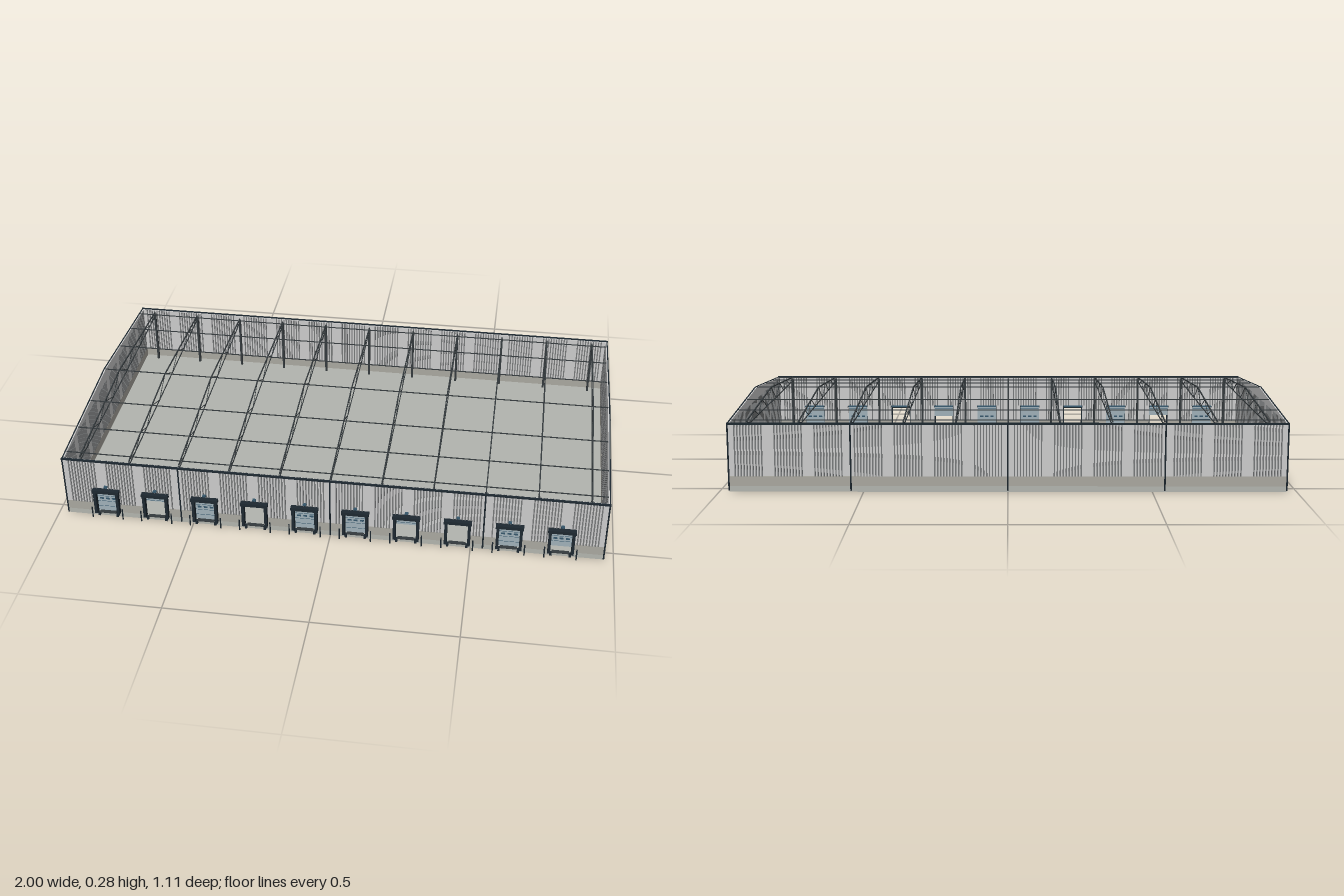
import * as THREE from 'three';
import { mergeGeometries } from 'three/addons/utils/BufferGeometryUtils.js';

const mat = (color) => new THREE.MeshStandardMaterial({ color });
const wallMat = mat(0xcccccc), ribMat = mat(0x77797a), floorMat = mat(0xb2b4ae), plinthMat = mat(0xa9a79f);
const steelMat = mat(0x343a3d), darkMat = mat(0x1d2830), doorMat = mat(0x9fb0b8), blueMat = mat(0x35566b);

const HX = 0.965, ZF = 0.538, ZB = -0.548, T = 0.006, EAVE = 0.24, RIDGE = 0.281, BAY = 0.181;
const roofY = (z) => RIDGE - (RIDGE - EAVE) * Math.abs(z) / 0.543;

const box = (w, h, d, x, y, z) => new THREE.BoxGeometry(w, h, d).translate(x, y, z);

// Square bar between two points
function bar(a, b, t) {
  const p = new THREE.Vector3(...a), q = new THREE.Vector3(...b);
  const m = new THREE.Matrix4().lookAt(p, q, new THREE.Vector3(0, 1, 0.001));
  m.setPosition(p.clone().add(q).multiplyScalar(0.5));
  return new THREE.BoxGeometry(t, t, p.distanceTo(q)).applyMatrix4(m);
}

const rod = (r, h, x, y, z) => new THREE.CylinderGeometry(r, r, h, 8).translate(x, y, z);

export function createModel() {
  const model = new THREE.Group();
  model.name = 'warehouse';
  const add = (name, geos, material, parent = model) => {
    const mesh = new THREE.Mesh(mergeGeometries(geos), material);
    mesh.name = name;
    parent.add(mesh);
    return mesh;
  };
  const doorXs = Array.from({ length: 10 }, (_, i) => (i - 4.5) * BAY);
  const frameXs = Array.from({ length: 11 }, (_, i) => (i - 5) * BAY);
  const zMid = (ZF + ZB) / 2, depth = ZF - ZB;

  // Floor slab
  add('floorSlab', [box(2 * HX, 0.02, depth, 0, 0.01, zMid)], floorMat);

  // Long walls; the front one has dock openings
  const longWall = (name, z, y0, y1, openings, material) => {
    const s = new THREE.Shape();
    s.moveTo(-HX, y0);
    if (openings && y0 < 0.03) {
      for (const x of doorXs) {
        s.lineTo(x - 0.04, y0); s.lineTo(x - 0.04, y1); s.lineTo(x + 0.04, y1); s.lineTo(x + 0.04, y0);
      }
    } else if (openings) {
      for (const x of doorXs) {
        s.lineTo(x - 0.04, y0); s.lineTo(x - 0.04, 0.115); s.lineTo(x + 0.04, 0.115); s.lineTo(x + 0.04, y0);
      }
    }
    s.lineTo(HX, y0); s.lineTo(HX, y1); s.lineTo(-HX, y1);
    add(name, [new THREE.ExtrudeGeometry(s, { depth: T, bevelEnabled: false }).translate(0, 0, z)], material);
  };
  longWall('frontWall', ZF - T, 0.055, EAVE, true, wallMat);
  longWall('backWall', ZB, 0.055, EAVE, false, wallMat);
  longWall('backPlinth', ZB - 0.001, 0.02, 0.055, false, plinthMat);
  // Front plinth between the docks
  const edges = [-HX, ...doorXs.flatMap((x) => [x - 0.04, x + 0.04]), HX];
  const plinths = [];
  for (let i = 0; i < edges.length; i += 2) {
    const w = edges[i + 1] - edges[i];
    plinths.push(box(w, 0.035, T + 0.002, edges[i] + w / 2, 0.0375, ZF - T / 2));
  }
  add('frontPlinth', plinths, plinthMat);

  // Gable walls
  for (const side of [1, -1]) {
    const s = new THREE.Shape();
    s.moveTo(-ZF, 0.055); s.lineTo(-ZB, 0.055); s.lineTo(-ZB, EAVE); s.lineTo(0, RIDGE); s.lineTo(-ZF, EAVE);
    const g = new THREE.ExtrudeGeometry(s, { depth: T, bevelEnabled: false });
    g.rotateY(Math.PI / 2).translate(side > 0 ? HX - T : -HX, 0, 0);
    add('gableWall', [g], wallMat);
    add('gablePlinth', [box(T + 0.002, 0.035, depth, side * (HX - T / 2), 0.0375, zMid)], plinthMat);
    // Roof-edge trim
    add('gableTrim', [ZF, ZB].map((z) => bar([side * HX, EAVE, z], [side * HX, RIDGE, 0], 0.004)), darkMat);
  }

  // Cladding ribs in groups, showing on both faces of each wall
  const ribs = (length, count, place) => {
    const out = [], panel = length / count;
    for (let p = 0; p < count; p++) {
      for (let i = 0; i < 10; i++) out.push(place(-length / 2 + panel * (p + 0.16 + 0.075 * i)));
    }
    return out;
  };
  const ribH = EAVE - 0.055;
  add('gableRibs', [1, -1].flatMap((side) => ribs(depth, 8, (u) =>
    box(T + 0.005, ribH, 0.0045, side * (HX - T / 2), 0.055 + ribH / 2, zMid + u))), ribMat);
  add('backRibs', ribs(2 * HX, 14, (u) => box(0.0045, ribH, T + 0.005, u, 0.055 + ribH / 2, ZB + T / 2)), ribMat);
  add('frontRibs', ribs(2 * HX, 14, (u) => {
    const y0 = doorXs.some((x) => Math.abs(x - u) < 0.05) ? 0.12 : 0.055;
    return box(0.0045, EAVE - y0, T + 0.005, u, (EAVE + y0) / 2, ZF - T / 2);
  }), ribMat);

  // Gutters, corner trim and downpipes
  add('gutters', [ZF + 0.002, ZB - 0.002].map((z) => box(2 * HX + 0.006, 0.006, 0.007, 0, EAVE, z)), darkMat);
  const pipes = [];
  for (const z of [ZF + 0.004, ZB - 0.004]) {
    for (const x of [-HX, -3 * BAY, 0, 3 * BAY, HX]) pipes.push(rod(0.0028, EAVE - 0.005, x, 0.1225, z));
  }
  add('downpipes', pipes, darkMat);

  // Steel frames: columns, rafters, bottom chords and webs
  const chordY = 0.225, zi = 0.522;
  for (const x of frameXs) {
    const frame = new THREE.Group();
    frame.name = 'roofFrame';
    const parts = [];
    for (const s of [1, -1]) {
      parts.push(box(0.008, 0.215, 0.01, x, 0.1275, s * zi));
      parts.push(bar([x, roofY(zi), s * zi], [x, RIDGE, 0], 0.004));
      const zs = [zi, 0.36, 0.2, 0];
      for (let i = 0; i < 3; i++) {
        const m = (zs[i] + zs[i + 1]) / 2;
        parts.push(bar([x, roofY(zs[i]), s * zs[i]], [x, chordY, s * m], 0.002));
        parts.push(bar([x, chordY, s * m], [x, roofY(zs[i + 1]), s * zs[i + 1]], 0.002));
      }
    }
    parts.push(box(0.003, 0.003, 2 * zi, x, chordY, 0));
    add('steelFrame', parts, steelMat, frame);
    model.add(frame);
  }
  add('purlins', [-0.5, -0.36, -0.2, 0, 0.2, 0.36, 0.5].map((z) =>
    box(2 * HX - 0.01, 0.003, 0.003, 0, roofY(z) + 0.001, z)), steelMat);

  // Loading docks; each entry is how far that door is raised
  const raised = [0, 0.06, 0, 0.09, 0, 0, 0.055, 0.09, 0, 0.02];
  doorXs.forEach((x, i) => {
    const dock = new THREE.Group();
    dock.name = 'loadingDock';
    const zs = ZF + 0.009;
    add('dockShelter', [
      box(0.01, 0.1, 0.02, x - 0.041, 0.07, zs), box(0.01, 0.1, 0.02, x + 0.041, 0.07, zs),
      box(0.098, 0.012, 0.02, x, 0.115, zs),
    ], darkMat, dock);
    const bottom = 0.02 + raised[i], h = 0.113 - bottom;
    if (h > 0.01) {
      add('dockDoor', [box(0.078, h, 0.004, x, bottom + h / 2, ZF - 0.006)], doorMat, dock);
      const seams = [];
      for (let y = 0.04; y < 0.11; y += 0.022) if (y > bottom) seams.push(box(0.076, 0.0012, 0.0055, x, y, ZF - 0.006));
      if (bottom < 0.06) for (const s of [-1, 0, 1]) seams.push(box(0.014, 0.007, 0.0055, x + s * 0.022, 0.074, ZF - 0.006));
      add('doorSeams', seams, blueMat, dock);
    }
    // Overhead door tracks and raised panel
    add('doorTracks', [-1, 1].map((s) => box(0.002, 0.002, 0.03, x + s * 0.04, 0.118, ZF - 0.02)), steelMat, dock);
    add('overheadPanel', [box(0.076, 0.003, 0.008, x, 0.119, ZF - 0.03),
      box(0.076, 0.003, 0.008, x, 0.119, ZF - 0.018)], blueMat, dock);
    // Leveller lip, bumpers, lamp and guard posts
    add('dockLeveller', [box(0.06, 0.003, 0.014, x, 0.0205, ZF + 0.005)], steelMat, dock);
    add('bumpers', [-1, 1].map((s) => box(0.008, 0.014, 0.01, x + s * 0.034, 0.011, ZF + 0.005)), darkMat, dock);
    add('dockLamp', [box(0.012, 0.006, 0.01, x, 0.131, ZF + 0.005)], blueMat, dock);
    add('guardPosts', [-1, 1].map((s) => rod(0.0025, 0.045, x + s * 0.056, 0.0225, ZF + 0.016)), darkMat, dock);
    model.add(dock);
  });

  // Side entrances with steps and handrails
  for (const side of [1, -1]) {
    const entrance = new THREE.Group();
    entrance.name = 'sideEntrance';
    const z = -0.327, at = (d) => side * (HX + d);
    add('sideDoor', [box(0.004, 0.043, 0.02, at(0.001), 0.0435, z)], blueMat, entrance);
    add('doorFrame', [box(0.006, 0.046, 0.003, at(0.002), 0.044, z - 0.011),
      box(0.006, 0.046, 0.003, at(0.002), 0.044, z + 0.011), box(0.006, 0.003, 0.025, at(0.002), 0.067, z),
      box(0.007, 0.008, 0.006, at(0.001), 0.055, z)], darkMat, entrance);
    const steps = [];
    for (let i = 0; i < 4; i++) {
      const run = 0.035 - i * 0.007, h = 0.005;
      steps.push(box(run, h, 0.03, at(run / 2), h * (i + 0.5), z));
    }
    add('steps', steps, plinthMat, entrance);
    const rails = [];
    for (const s of [-1, 1]) {
      const rz = z + s * 0.0145;
      rails.push(bar([at(0.003), 0.045, rz], [at(0.034), 0.022, rz], 0.0015));
      rails.push(box(0.0015, 0.026, 0.0015, at(0.003), 0.032, rz), box(0.0015, 0.022, 0.0015, at(0.034), 0.011, rz));
    }
    add('handrails', rails, steelMat, entrance);
    model.add(entrance);
  }
  return model;
}
